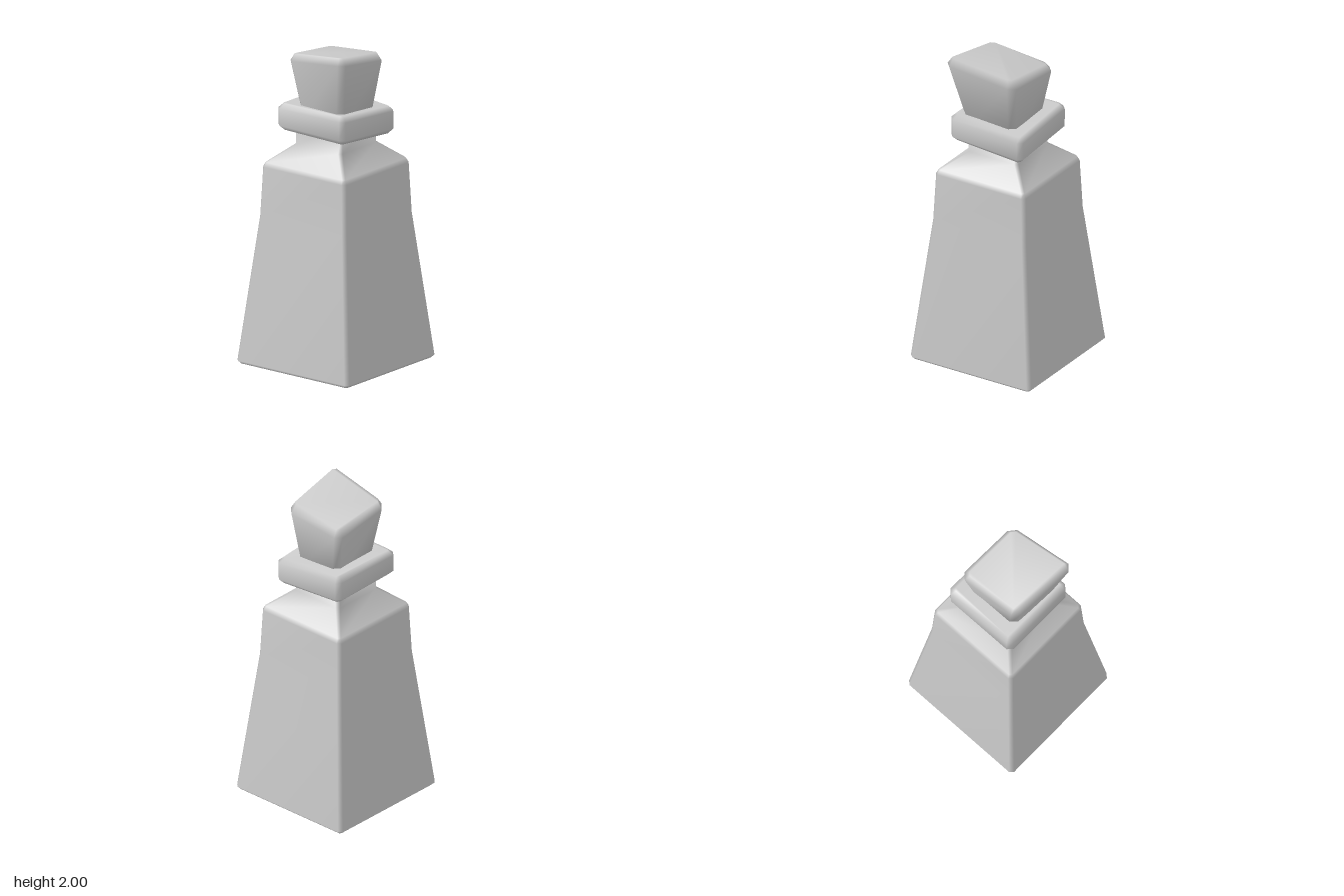
import * as THREE from 'three';

// Lofts rings of four corners [x, y, z]; each corner is cut by the ring's chamfer.
// Corner order, seen from above: back left, front left, front right, back right (as drawn with x right).
function loft(name, rings) {
  const pos = [], index = [];
  for (const { corners, chamfer } of rings) {
    const pts = corners.map((c) => new THREE.Vector3(...c));
    pts.forEach((p, i) => {
      for (const q of [pts[(i + 3) % 4], pts[(i + 1) % 4]]) {
        const cut = p.clone().lerp(q, chamfer / p.distanceTo(q));
        pos.push(cut.x, cut.y, cut.z);
      }
    });
  }
  for (let r = 0; r < rings.length - 1; r++) {
    for (let i = 0; i < 8; i++) {
      const a = r * 8 + i, b = r * 8 + (i + 1) % 8;
      index.push(a, b, b + 8, a, b + 8, a + 8);
    }
  }
  // End caps
  const top = (rings.length - 1) * 8;
  for (let i = 1; i < 7; i++) {
    index.push(0, i + 1, i);
    index.push(top, top + i, top + i + 1);
  }
  const geo = new THREE.BufferGeometry();
  geo.setAttribute('position', new THREE.Float32BufferAttribute(pos, 3));
  geo.setIndex(index);
  geo.computeVertexNormals(); // area weighted, so large faces stay flat and bevels look soft
  const mesh = new THREE.Mesh(geo, new THREE.MeshStandardMaterial({ color: 0xcccccc }));
  mesh.name = name;
  return mesh;
}

const SIGNS = [[-1, -1], [-1, 1], [1, 1], [1, -1]];

// Square ring of half width h; y is one height or one per corner
const square = (h, y, chamfer) => ({
  corners: SIGNS.map(([sx, sz], i) => [sx * h, Array.isArray(y) ? y[i] : y, sz * h]),
  chamfer,
});

export function createModel() {
  const group = new THREE.Group();
  group.name = 'bottle';

  // Tapered square body, shoulder and neck
  const profile = [
    [0.41, 0, 0.01], [0.43, 0.02, 0.022], [0.333, 0.92, 0.022], [0.32, 1.23, 0.022],
    [0.305, 1.257, 0.015], [0.18, 1.365, 0.02], [0.18, 1.53, 0.02],
  ];
  group.add(loft('body', profile.map(([h, y, c]) => square(h, y, c))));

  // Crooked bevelled collar, dipping at one front corner
  const low = [1.46, 1.45, 1.415, 1.45], high = [1.625, 1.625, 1.585, 1.625];
  const shift = (ys, d) => ys.map((y) => y + d);
  group.add(loft('collar', [
    square(0.228, low, 0.015),
    square(0.258, shift(low, 0.03), 0.03),
    square(0.258, shift(high, -0.03), 0.03),
    square(0.228, high, 0.015),
  ]));

  // Skewed stopper with a slanted top
  group.add(loft('stopper', [
    { corners: [[-0.175, 1.54, -0.14], [-0.19, 1.54, 0.185], [0.15, 1.54, 0.175], [0.155, 1.54, -0.145]], chamfer: 0.035 },
    { corners: [[-0.24, 1.9, -0.187], [-0.283, 1.96, 0.274], [0.183, 1.885, 0.233], [0.203, 1.855, -0.207]], chamfer: 0.04 },
    { corners: [[-0.215, 1.945, -0.16], [-0.255, 2, 0.245], [0.15, 1.937, 0.207], [0.17, 1.898, -0.177]], chamfer: 0.02 },
  ]));

  return group;
}
